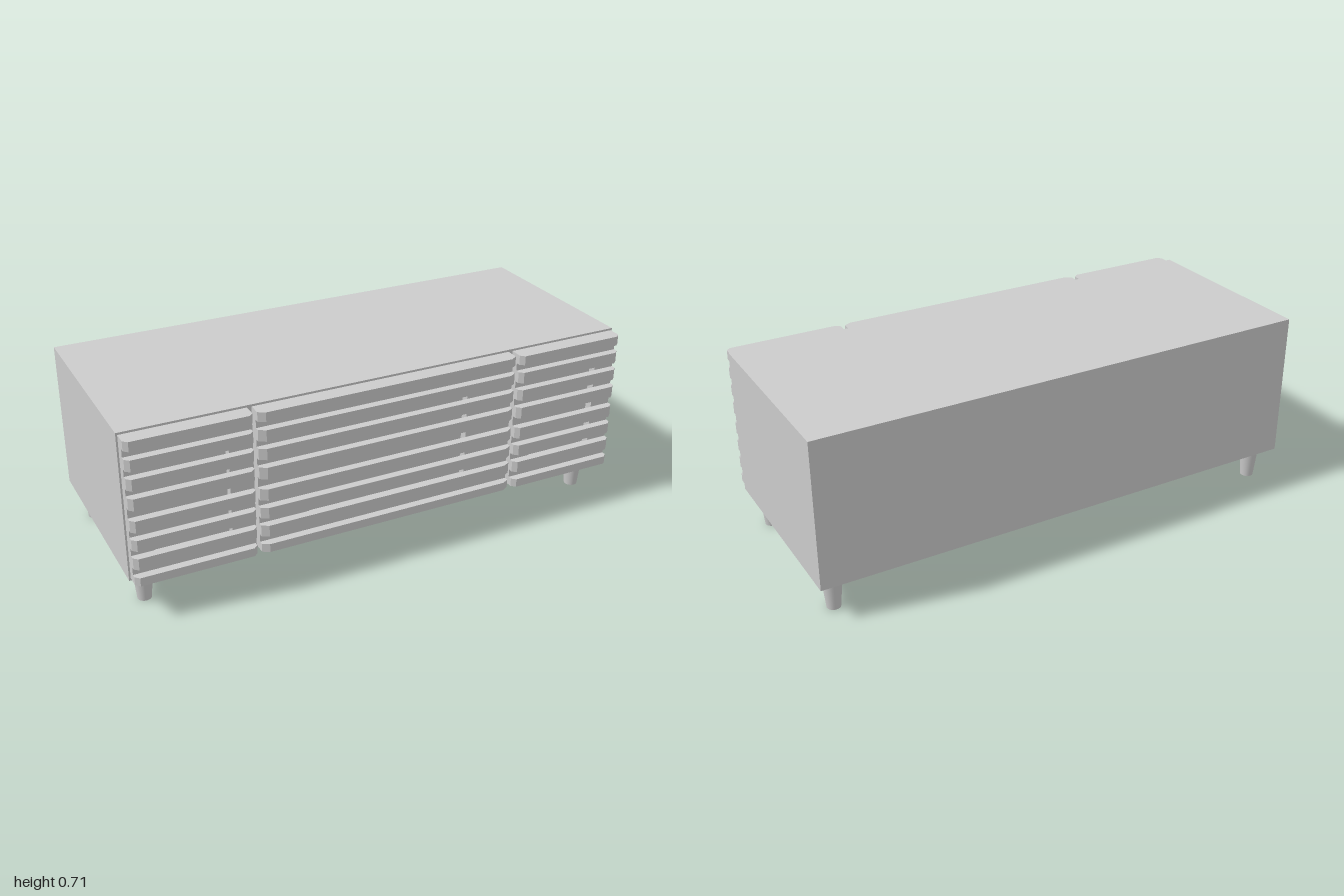
import * as THREE from 'three';

const material = new THREE.MeshStandardMaterial({ color: 0xcccccc });

function add(parent, name, geometry, x = 0, y = 0, z = 0) {
  const mesh = new THREE.Mesh(geometry, material);
  mesh.name = name;
  mesh.position.set(x, y, z);
  parent.add(mesh);
  return mesh;
}

const BOTTOM = 0.145, TOP = 0.704; // door height range
const BODY_FRONT = 0.36, SLAT_BACK = 0.393, SLAT_FRONT = 0.424;

// [bottom, top] of every horizontal slat
const SLATS = [
  [BOTTOM, 0.178], [0.21, 0.255], [0.285, 0.328], [0.358, 0.404],
  [0.444, 0.49], [0.52, 0.564], [0.592, 0.636], [0.667, TOP],
];

// Backing board with a rectangular recess behind the middle slats
function backingGeometry(width, openingWidth) {
  const w = width / 2, o = openingWidth / 2;
  const shape = new THREE.Shape([
    new THREE.Vector2(-w, BOTTOM), new THREE.Vector2(w, BOTTOM),
    new THREE.Vector2(w, TOP), new THREE.Vector2(-w, TOP),
  ]);
  shape.holes.push(new THREE.Path([
    new THREE.Vector2(-o, 0.235), new THREE.Vector2(-o, 0.61),
    new THREE.Vector2(o, 0.61), new THREE.Vector2(o, 0.235),
  ]));
  return new THREE.ExtrudeGeometry(shape, { depth: SLAT_BACK - BODY_FRONT, bevelEnabled: false });
}

// Slat with chamfered front corners: plan outline extruded upward
function slatGeometry(width, height, chamfer) {
  const w = width / 2, d = SLAT_FRONT - SLAT_BACK, c = 0.015;
  const shape = new THREE.Shape([
    new THREE.Vector2(-w, 0), new THREE.Vector2(-w, -(d - c)),
    new THREE.Vector2(-w + chamfer, -d), new THREE.Vector2(w - chamfer, -d),
    new THREE.Vector2(w, -(d - c)), new THREE.Vector2(w, 0),
  ]);
  const geometry = new THREE.ExtrudeGeometry(shape, { depth: height, bevelEnabled: false });
  return geometry.rotateX(-Math.PI / 2);
}

function createDoor(name, x, width, openingWidth, chamfer) {
  const door = new THREE.Group();
  door.name = name;
  door.position.x = x;
  add(door, 'backing', backingGeometry(width, openingWidth), 0, 0, BODY_FRONT);
  for (const [y0, y1] of SLATS) {
    add(door, 'slat', slatGeometry(width, y1 - y0, chamfer), 0, y0, SLAT_BACK);
  }
  return door;
}

export function createModel() {
  const group = new THREE.Group();
  group.name = 'sideboard';

  // Cabinet body
  add(group, 'body', new THREE.BoxGeometry(2, 0.577, 0.782), 0, 0.4235, -0.031);

  // Slatted fronts
  group.add(createDoor('centerDoor', 0, 1.042, 0.655, 0.026));
  group.add(createDoor('leftDoor', 0.766, 0.455, 0.285, 0.016));
  group.add(createDoor('rightDoor', -0.766, 0.455, 0.285, 0.016));

  // Tapered legs
  const legGeometry = new THREE.CylinderGeometry(0.039, 0.026, 0.135, 32);
  for (const x of [-0.93, 0.93]) {
    for (const z of [0.285, -0.344]) add(group, 'leg', legGeometry, x, 0.0675, z);
  }
  return group;
}
